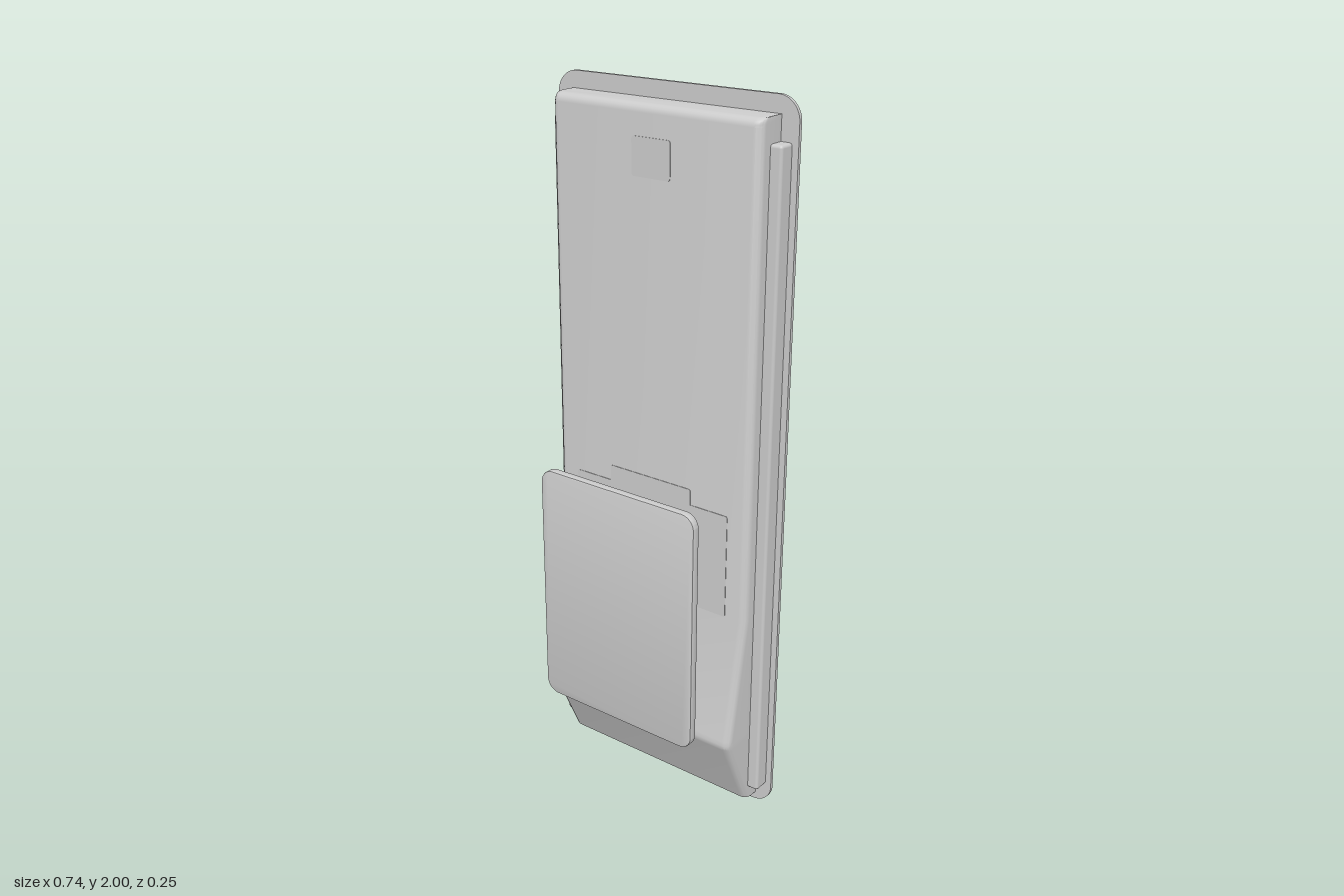
import * as THREE from 'three';
import { toCreasedNormals } from 'three/addons/utils/BufferGeometryUtils.js';
import { RoundedBoxGeometry } from 'three/addons/geometries/RoundedBoxGeometry.js';

const material = new THREE.MeshStandardMaterial({ color: 0xcccccc });

function add(group, name, geometry, x = 0, y = 0, z = 0) {
  const mesh = new THREE.Mesh(geometry, material);
  mesh.name = name;
  mesh.position.set(x, y, z);
  group.add(mesh);
  return mesh;
}

// Upright slab with rounded corners, from z = 0 to z = depth
function roundedSlab(w, h, r, depth, bevel = 0) {
  const x = w / 2 - bevel, y = h / 2 - bevel, q = Math.PI / 2;
  const s = new THREE.Shape();
  s.absarc(x - r, y - r, r, 0, q);
  s.absarc(-x + r, y - r, r, q, 2 * q);
  s.absarc(-x + r, -y + r, r, 2 * q, 3 * q);
  s.absarc(x - r, -y + r, r, 3 * q, 4 * q);
  s.closePath();
  const g = new THREE.ExtrudeGeometry(s, {
    depth: depth - 2 * bevel, curveSegments: 8, bevelEnabled: bevel > 0,
    bevelSize: bevel, bevelThickness: bevel, bevelSegments: 2,
  });
  g.translate(0, 0, bevel);
  return toCreasedNormals(g, 0.6);
}

// Housing: horizontal sections with rounded front corners, stacked upward
function housingGeometry() {
  const half = 0.32, back = -0.12, r = 0.022, steps = 5;
  const stations = [[0.025, -0.07], [0.238, 0.029], [0.246, 0.033], [0.256, 0.034], [0.268, 0.032], [0.62, -0.03]];
  for (let i = 0; i <= steps; i++) {
    const a = (i / steps) * Math.PI / 2;
    stations.push([1.933 + r * Math.sin(a), -0.03 - r + r * Math.cos(a)]);
  }
  const positions = [], index = [];
  const n = 2 * (steps + 1) + 2;
  for (const [y, front] of stations) {
    positions.push(half, y, back);
    positions.push(-half, y, back);
    for (let side = -1; side <= 1; side += 2) {
      for (let i = 0; i <= steps; i++) {
        const t = (i / steps) * Math.PI / 2;
        const a = side < 0 ? Math.PI - t : Math.PI / 2 - t;
        positions.push(side * (half - r) + r * Math.cos(a), y, front - r + r * Math.sin(a));
      }
    }
  }
  for (let k = 0; k < stations.length - 1; k++) {
    for (let i = 0; i < n; i++) {
      const a = k * n + i, b = k * n + (i + 1) % n;
      index.push(a, b, b + n, a, b + n, a + n);
    }
  }
  // End caps
  const top = (stations.length - 1) * n;
  for (let i = 1; i < n - 1; i++) {
    index.push(0, i + 1, i);
    index.push(top, top + i, top + i + 1);
  }
  const g = new THREE.BufferGeometry();
  g.setAttribute('position', new THREE.Float32BufferAttribute(positions, 3));
  g.setIndex(index);
  return toCreasedNormals(g, 0.45);
}

// Arm with a concave spine behind the front pad
function bracketGeometry() {
  const width = 0.29;
  const s = new THREE.Shape();
  s.moveTo(0.104, 0.30);
  s.lineTo(0.104, 0.89);
  s.lineTo(0.084, 0.89);
  s.quadraticCurveTo(0.112, 0.65, 0.084, 0.42);
  s.lineTo(0.0, 0.42);
  s.lineTo(0.0, 0.30);
  s.closePath();
  const g = new THREE.ExtrudeGeometry(s, { depth: width, bevelEnabled: false, curveSegments: 16 });
  g.translate(0, 0, -width / 2);
  g.rotateY(-Math.PI / 2);
  return toCreasedNormals(g, 0.5);
}

export function createModel() {
  const model = new THREE.Group();
  model.name = 'wallUnit';

  add(model, 'backPlate', roundedSlab(0.74, 2, 0.06, 0.01), 0, 1, -0.127);
  add(model, 'housing', housingGeometry());

  // Rails along both sides of the housing
  for (const side of [-1, 1]) {
    add(model, side > 0 ? 'leftRail' : 'rightRail',
      new RoundedBoxGeometry(0.052, 1.825, 0.052, 3, 0.008), side * 0.326, 0.978, -0.099);
  }

  // Shallow panels on the housing front
  add(model, 'sensorWindow', roundedSlab(0.12, 0.1, 0.008, 0.004), 0, 1.825, -0.0325);
  add(model, 'lowerPanel', roundedSlab(0.51, 0.3, 0.006, 0.004), 0, 0.77, -0.0325);
  add(model, 'panelTab', roundedSlab(0.27, 0.05, 0.006, 0.004), 0, 0.94, -0.0325);

  add(model, 'bracket', bracketGeometry());
  add(model, 'frontPad', roundedSlab(0.514, 0.706, 0.036, 0.025, 0.004), 0, 0.623, 0.1);
  return model;
}
